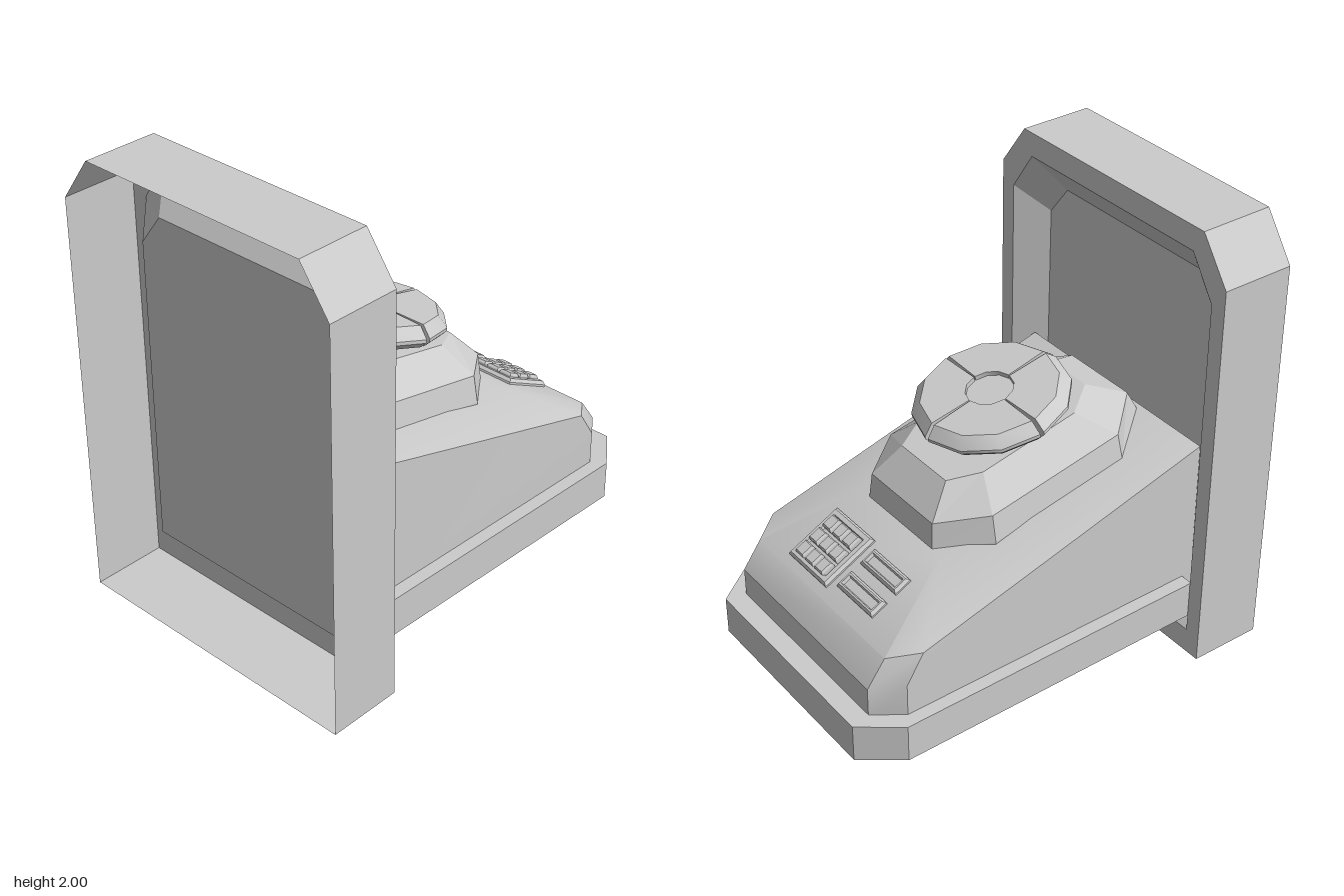
import * as THREE from 'three';
import { toCreasedNormals } from 'three/addons/utils/BufferGeometryUtils.js';

const material = new THREE.MeshStandardMaterial({ color: 0xcccccc });
const doubleSided = new THREE.MeshStandardMaterial({ color: 0xcccccc, side: THREE.DoubleSide });

// Flat-faced geometry from polygons, each fanned into triangles
function polygons(faces) {
  const pos = [];
  for (const f of faces)
    for (let i = 1; i < f.length - 1; i++) pos.push(...f[0], ...f[i], ...f[i + 1]);
  const g = new THREE.BufferGeometry();
  g.setAttribute('position', new THREE.Float32BufferAttribute(pos, 3));
  g.computeVertexNormals();
  return g;
}

// Quads joining two matching rings
const strip = (a, b) => a.map((p, i) => {
  const j = (i + 1) % a.length;
  return [p, a[j], b[j], b[i]];
});

// Faces through a stack of rings, closed at both ends
function loft(rings) {
  const faces = [[...rings[0]].reverse(), rings[rings.length - 1]];
  for (let i = 1; i < rings.length; i++) faces.push(...strip(rings[i - 1], rings[i]));
  return faces;
}

const flip = ([x, y, z]) => [x, y, -z];
// Full outline from one half, listed front to back with z > 0
const mirrorRing = half => [...half.map(flip), ...[...half].reverse()];

function add(parent, name, geometry, mat = material) {
  const m = new THREE.Mesh(geometry, mat);
  m.name = name;
  parent.add(m);
  return m;
}

// Upright frame: hollow surround, open behind, with a sloping recess and a back panel
function buildFrame(root) {
  const ring = (x, w, y0, y1, cz, cy) => [
    [-w, y0], [-w, y1 - cy], [cz - w, y1], [w - cz, y1], [w, y1 - cy], [w, y0],
  ].map(([z, y]) => [x, y, z]);
  const back = ring(-0.965, 0.688, 0, 2, 0.14, 0.195);
  const front = ring(-0.635, 0.688, 0, 2, 0.14, 0.195);
  const mouth = ring(-0.635, 0.615, 0.115, 1.895, 0.12, 0.18);
  const panel = ring(-0.755, 0.51, 0.24, 1.74, 0.105, 0.14);
  add(root, 'frame', polygons([
    ...strip(back, front), ...strip(front, mouth), ...strip(mouth, panel), panel,
  ]), doubleSided);
}

// Skirt around the foot of the body, bevelled underneath
function buildSkirt(parent) {
  const ring = (y, dx, dz) => mirrorRing([
    [0.96 - dx, 0.48 - dz], [0.79 - dx * 0.6, 0.61 - dz], [-0.65, 0.606 - dz],
  ].map(([x, z]) => [x, y - 0.015 * x, z]));
  add(parent, 'skirt', polygons(loft([ring(0.138, 0.08, 0.04), ring(0.178, 0, 0), ring(0.35, 0, 0)])));
}

// Wedge-shaped body with cut front corners and a softly crowned top
function buildBody(parent) {
  const A = [-0.7, 0.3, 0.548], B = [0.75, 0.3, 0.551], C = [0.873, 0.3, 0.46];
  const A2 = [-0.7, 1.002, 0.546], B2 = [0.75, 0.485, 0.551], C2 = [0.873, 0.465, 0.46];
  const E = [0.67, 0.61, 0.549], D = [0.79, 0.58, 0.46], F = [0.4, 0.78, 0.28];
  const half = [
    [A, B, B2, E, A2], [B, C, C2, B2], [B2, C2, D, E], [A2, E, F], [E, D, F],
  ];
  const across = (p, q) => [p, flip(p), flip(q), q];
  const faces = [
    ...half, ...half.map(f => f.map(flip).reverse()),
    across(C, C2), across(C2, D), across(D, F), across(F, A2), across(A2, A),
  ];
  add(parent, 'body', toCreasedNormals(polygons(faces), 0.55));
}

// Faceted turret sloping with the top of the body
function buildTurret(root) {
  const ring = (y, half) => mirrorRing(half.map(([x, z]) => [x, y - 0.2 * x, z]));
  add(root, 'turret', polygons(loft([
    ring(0.83, [[0.4, 0.22], [0.2, 0.372], [-0.44, 0.372], [-0.68, 0.18]]),
    ring(0.855, [[0.4, 0.22], [0.2, 0.372], [-0.44, 0.372], [-0.68, 0.18]]),
    ring(0.972, [[0.39, 0.21], [0.2, 0.35], [-0.43, 0.35], [-0.62, 0.18]]),
    ring(1.076, [[0.28, 0.15], [0.15, 0.22], [-0.31, 0.215], [-0.45, 0.11]]),
  ])));
}

// Tilted dial: stem, hub and four separate rim quarters
function buildDial(root) {
  const dial = new THREE.Group();
  dial.name = 'dial';
  dial.position.set(-0.055, 1.21, 0);
  dial.rotation.z = -0.22;
  root.add(dial);

  const stem = add(dial, 'stem', toCreasedNormals(new THREE.CylinderGeometry(0.125, 0.125, 0.2, 12).toNonIndexed(), 0.7));
  stem.position.y = -0.12;
  const hub = add(dial, 'hub', new THREE.CylinderGeometry(0.11, 0.11, 0.05, 12));
  hub.position.y = -0.005;

  const profile = [
    [0.1, -0.04], [0.305, -0.045], [0.328, -0.02], [0.328, -0.005], [0.285, 0.04], [0.1, 0.04],
  ].map(p => new THREE.Vector2(...p));
  const gap = 0.028;
  const rim = new THREE.LatheGeometry([...profile, profile[0]], 3, gap, Math.PI / 2 - 2 * gap);
  const quarter = toCreasedNormals(rim.toNonIndexed(), 0.6);
  const cap = new THREE.ShapeGeometry(new THREE.Shape(profile));
  for (let i = 0; i < 4; i++) {
    const g = new THREE.Group();
    g.name = 'rimQuarter';
    g.rotation.y = i * Math.PI / 2;
    add(g, 'quarterRim', quarter, doubleSided);
    for (const phi of [gap, Math.PI / 2 - gap])
      add(g, 'quarterEnd', cap, doubleSided).rotation.y = phi - Math.PI / 2;
    dial.add(g);
  }
}

// Controls on the front slope: a nine-key pad and two slots
function buildControls(root) {
  const panel = new THREE.Group();
  panel.name = 'controls';
  panel.position.set(0.63, 0.662, 0);
  panel.rotation.z = -0.473;
  root.add(panel);

  const rect = (l, w, y) => mirrorRing([[l / 2, y, w / 2], [-l / 2, y, w / 2]]);
  const tray = (name, l, w, rim, x, z) => add(panel, name, polygons(loft([
    rect(l, w, -0.02), rect(l, w, 0.008), rect(l - 0.02, w - 0.02, 0.022),
    rect(l - rim, w - rim, 0.022), rect(l - rim - 0.01, w - rim - 0.01, 0.008),
  ]))).position.set(x, 0, z);

  tray('keypadTray', 0.27, 0.27, 0.06, 0, 0.152);
  const key = polygons(loft([rect(0.062, 0.058, 0), rect(0.062, 0.058, 0.028), rect(0.05, 0.046, 0.038)]));
  for (let i = -1; i <= 1; i++)
    for (let j = -1; j <= 1; j++)
      add(panel, 'key', key).position.set(i * 0.075 + 0.005, 0, 0.157 + j * 0.07);
  for (const x of [-0.068, 0.06]) tray('slot', 0.082, 0.245, 0.035, x, -0.142);
}

export function createModel() {
  const root = new THREE.Group();
  root.name = 'wallConsole';
  buildFrame(root);
  // Pedestal, turned very slightly from square
  const pedestal = new THREE.Group();
  pedestal.name = 'pedestal';
  pedestal.rotation.y = -0.008;
  root.add(pedestal);
  buildSkirt(pedestal);
  buildBody(pedestal);
  buildTurret(root);
  buildDial(root);
  buildControls(root);
  return root;
}
